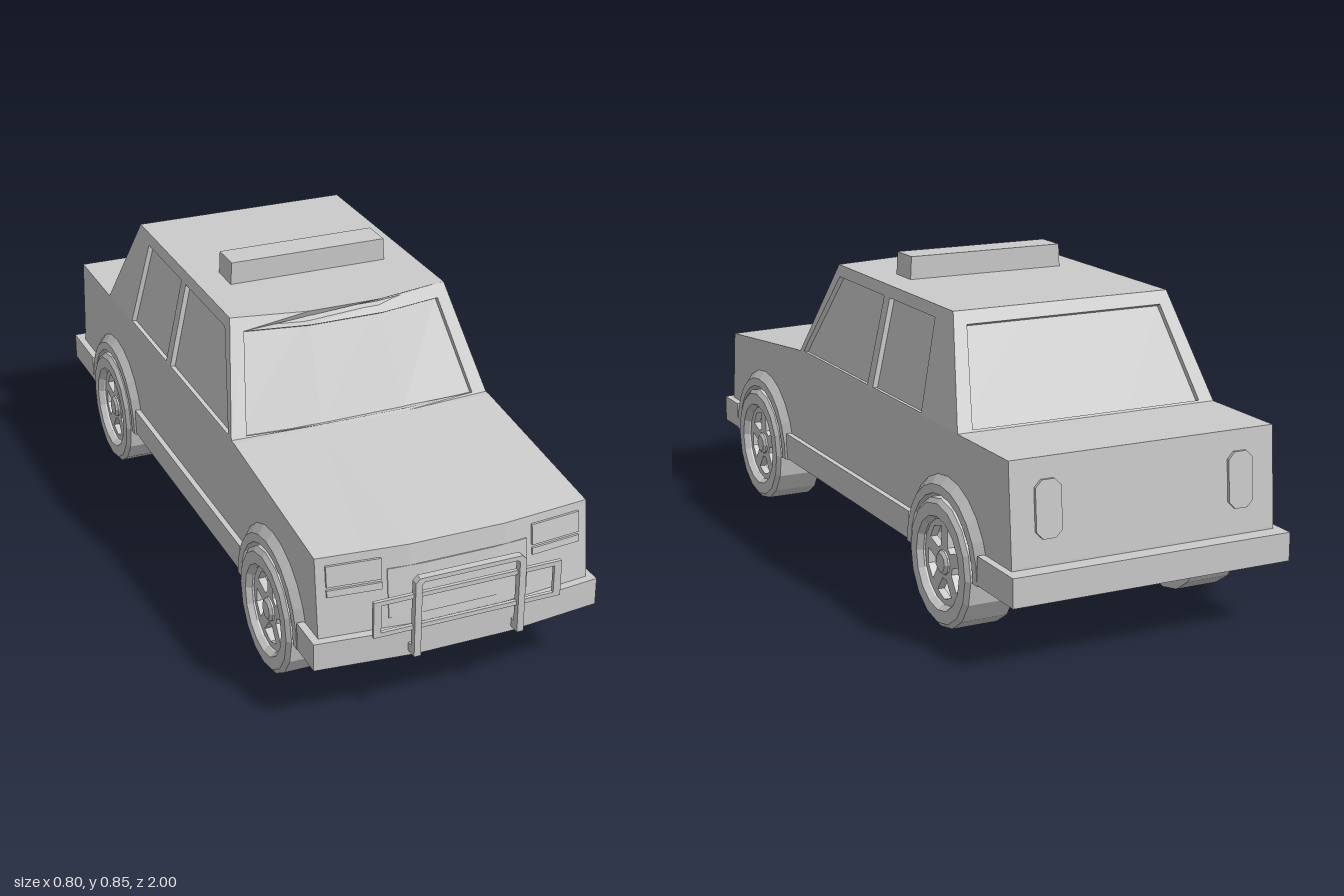
import * as THREE from 'three';

const grey = new THREE.MeshStandardMaterial({ color: 0xcccccc, flatShading: true, side: THREE.DoubleSide });
const V = (x, y, z) => new THREE.Vector3(x, y, z);
const lerp = THREE.MathUtils.lerp;
const poly = pts => new THREE.Shape(pts.map(p => new THREE.Vector2(p[0], p[1])));
const extrude = (shape, depth) => new THREE.ExtrudeGeometry(shape, { depth, bevelEnabled: false, curveSegments: 12 });

function add(parent, name, geometry) {
  const mesh = new THREE.Mesh(geometry, grey);
  mesh.name = name;
  parent.add(mesh);
  return mesh;
}

// Box given by its limits on each axis
function box(parent, name, x0, x1, y0, y1, z0, z1) {
  const g = new THREE.BoxGeometry(x1 - x0, y1 - y0, z1 - z0);
  return add(parent, name, g.translate((x0 + x1) / 2, (y0 + y1) / 2, (z0 + z1) / 2));
}

// Move every vertex by a rule
function warp(geometry, rule) {
  const p = geometry.attributes.position, v = V(0, 0, 0);
  for (let i = 0; i < p.count; i++) {
    rule(v.fromBufferAttribute(p, i));
    p.setXYZ(i, v.x, v.y, v.z);
  }
  geometry.computeVertexNormals();
  return geometry;
}

const WHEEL_Y = 0.167, AXLES = [0.635, -0.615], ARCH = 0.18, BASE = 0.17;

// The nose is flat in the middle and swept back to the sides
const sweep = x => 0.025 * Math.max(0, Math.abs(x) - 0.13) / 0.24;
const noseZ = (x, y) => lerp(0.945, 0.92, (y - 0.245) / 0.21) - sweep(x);

function lowerBody(car) {
  const cuts = [-0.37, -0.25, -0.13, 0.13, 0.25, 0.37];
  for (let i = 0; i < 5; i++) {
    const s = new THREE.Shape();
    s.moveTo(-0.955, BASE);
    // wheel wells only in the outer slabs
    if (i === 0 || i === 4) for (const z of [...AXLES].reverse()) {
      s.lineTo(z - ARCH, BASE);
      s.absarc(z, BASE, ARCH, Math.PI, 0, true);
    }
    for (const [z, y] of [[0.945, BASE], [0.945, 0.245], [0.92, 0.455], [0.37, 0.51], [-0.935, 0.51], [-0.955, 0.25]]) s.lineTo(z, y);
    const g = extrude(s, cuts[i + 1] - cuts[i]).rotateY(-Math.PI / 2).translate(cuts[i + 1], 0, 0);
    add(car, 'lowerBody', warp(g, v => { if (v.z > 0.85) v.z -= sweep(v.x); }));
  }
  // bumpers and sill
  const front = poly([[-0.39, -0.835], [0.39, -0.835], [0.39, -0.94], [0.13, -0.968], [-0.13, -0.968], [-0.39, -0.94]]);
  add(car, 'frontBumper', extrude(front, 0.075).rotateX(-Math.PI / 2).translate(0, BASE, 0));
  box(car, 'sill', -0.385, 0.385, BASE, 0.245, -0.415, 0.435);
  box(car, 'rearBumper', -0.39, 0.39, BASE, 0.245, -1, -0.815);
}

// Map a unit square (u, v, depth) onto a sloping quad, bulging in the middle
function onQuad(geometry, [bl, br, tr, tl], thickness, bulge) {
  const n = br.clone().sub(bl).cross(tl.clone().sub(bl)).normalize();
  return warp(geometry, p => {
    const { x: u, y: v, z: d } = p;
    p.copy(bl).lerp(br, u).lerp(tl.clone().lerp(tr, u), v).addScaledVector(n, (d - 1) * thickness);
    p.z += lerp(bulge[0], bulge[1], v) * Math.min(1, 3 * (0.5 - Math.abs(u - 0.5)));
  });
}

function windowPanel(cabin, name, quad, holes, bulge = [0, 0]) {
  const k = 1 / 3;
  const frame = poly([[0, 0], [k, 0], [1 - k, 0], [1, 0], [1, 1], [1 - k, 1], [k, 1], [0, 1]]);
  frame.holes = holes.map(poly);
  add(cabin, name + 'Frame', onQuad(extrude(frame, 1), quad, 0.016, bulge));
  const pane = new THREE.PlaneGeometry(0.96, 0.98, 3, 1).translate(0.5, 0.5, 0);
  add(cabin, name + 'Glass', onQuad(pane, quad, 0.014, bulge));
}

function buildCabin(car) {
  const cabin = new THREE.Group();
  cabin.name = 'cabin';
  car.add(cabin);
  const Y0 = 0.51, Y1 = 0.783, W0 = 0.37, W1 = 0.31;
  const low = (s, z) => V(s * W0, Y0, z), high = (s, z) => V(s * W1, Y1, z);
  const F0 = 0.35, F1 = 0.195, B0 = -0.67, B1 = -0.525;
  const screen = [[0.056, 0.02], [1 / 3, 0.02], [2 / 3, 0.02], [0.944, 0.02], [0.942, 0.88], [2 / 3, 0.88], [1 / 3, 0.88], [0.058, 0.88]];

  windowPanel(cabin, 'windshield', [low(-1, F0), low(1, F0), high(1, F1), high(-1, F1)], [screen], [0.02, 0.04]);
  windowPanel(cabin, 'rearWindow', [low(1, B0), low(-1, B0), high(-1, B1), high(1, B1)], [screen]);

  // front and rear door windows as (z, y) corners
  const doors = [
    [[0.325, 0.515], [-0.125, 0.515], [-0.125, 0.752], [0.175, 0.752]],
    [[-0.16, 0.515], [-0.46, 0.515], [-0.435, 0.752], [-0.16, 0.752]],
  ];
  for (const s of [1, -1]) {
    const holes = doors.map(d => d.map(([z, y]) => {
      const v = (y - Y0) / (Y1 - Y0), f = lerp(F0, F1, v), b = lerp(B0, B1, v);
      const u = (f - z) / (f - b);
      return [s > 0 ? u : 1 - u, v];
    }));
    const quad = s > 0
      ? [low(1, F0), low(1, B0), high(1, B1), high(1, F1)]
      : [low(-1, B0), low(-1, F0), high(-1, F1), high(-1, B1)];
    windowPanel(cabin, 'sideWindow', quad, holes);
  }
  const roof = new THREE.PlaneGeometry(1, 1, 3, 1).translate(0.5, 0.5, 1);
  add(cabin, 'roof', onQuad(roof, [high(1, B1), high(-1, B1), high(-1, F1), high(1, F1)], 0, [0, 0.04]));

  // light bar, slightly tapered
  const bar = new THREE.BoxGeometry(0.456, 0.064, 0.09).translate(0, 0.813, -0.055);
  add(car, 'lightBar', warp(bar, v => { if (v.y > 0.82) v.x *= 0.985; }));
}

function buildWheel(parent, z) {
  const wheel = new THREE.Group();
  wheel.name = 'wheel';
  wheel.position.set(0, WHEEL_Y, z);
  parent.add(wheel);
  const lathe = (pts, a = 0, len = Math.PI * 2, n = 16) => new THREE.LatheGeometry(
    pts.map(p => new THREE.Vector2(p[0], p[1])), n, a, len).rotateZ(-Math.PI / 2);

  add(wheel, 'tire', lathe([[0.12, 0.265], [0.167, 0.265], [0.167, 0.39], [0.155, 0.4], [0.122, 0.4], [0.112, 0.385], [0.112, 0.265], [0.12, 0.265]]));
  // five-spoke rim
  const rim = new THREE.Shape().absarc(0, 0, 0.115, 0, Math.PI * 2);
  for (let i = 0; i < 5; i++) {
    const a = Math.PI / 2 + (i + 0.5) * Math.PI * 2 / 5;
    rim.holes.push(poly([[0.045, -0.22], [0.092, -0.44], [0.098, 0], [0.092, 0.44], [0.045, 0.22]]
      .map(([r, t]) => [r * Math.cos(a + t), r * Math.sin(a + t)])));
  }
  add(wheel, 'spokes', extrude(rim, 0.02).rotateY(Math.PI / 2).translate(0.36, 0, 0));
  add(wheel, 'hub', lathe([[0.032, 0.35], [0.032, 0.385], [0.024, 0.392], [0, 0.392]], 0, Math.PI * 2, 10));

  // flared arch over the wheel
  add(wheel, 'wheelArch', lathe([[0.172, 0.3], [0.176, 0.39], [0.2, 0.39], [0.224, 0.368]], Math.PI, Math.PI, 12));
}

function noseDetails(car) {
  // thin plate following the swept nose
  const plate = (name, x0, x1, y0, y1, t = 0.006) => {
    const g = new THREE.BoxGeometry(x1 - x0, y1 - y0, t * 2, 4, 1, 1).translate((x0 + x1) / 2, (y0 + y1) / 2, 0);
    add(car, name, warp(g, v => { v.z += noseZ(v.x, v.y); }));
  };
  for (const s of [-1, 1]) {
    const mirrored = (name, a, b, y0, y1, t) => plate(name, Math.min(s * a, s * b), Math.max(s * a, s * b), y0, y1, t);
    mirrored('headlight', 0.205, 0.345, 0.378, 0.433);
    mirrored('turnSignal', 0.205, 0.345, 0.352, 0.37);
  }
  plate('grille', -0.19, 0.19, 0.27, 0.4, 0.003);

  // push bar: bent hoop, feet and a wide frame
  const hoop = poly([[-0.15, 0.2], [-0.15, 0.392], [-0.138, 0.404], [0.138, 0.404], [0.15, 0.392], [0.15, 0.2],
    [0.132, 0.2], [0.132, 0.386], [0.126, 0.392], [-0.126, 0.392], [-0.132, 0.386], [-0.132, 0.2]]);
  add(car, 'pushBar', extrude(hoop, 0.02).translate(0, 0, 0.98));
  for (const x of [-0.141, 0.141]) box(car, 'pushBarFoot', x - 0.009, x + 0.009, 0.185, 0.208, 0.95, 1);
  const rect = (w, a, b) => poly([[-w, a], [w, a], [w, b], [-w, b]]);
  const frame = rect(0.255, 0.258, 0.358);
  frame.holes = [rect(0.235, 0.27, 0.346)];
  add(car, 'pushBarFrame', extrude(frame, 0.01).translate(0, 0, 0.98));
}

function tailLights(car) {
  const w = 0.035, h = 0.072, c = 0.018;
  const lamp = poly([[-w, c - h], [c - w, -h], [w - c, -h], [w, c - h], [w, h - c], [w - c, h], [c - w, h], [-w, h - c]]);
  for (const x of [-0.27, 0.27]) {
    const m = add(car, 'tailLight', extrude(lamp, 0.02));
    m.position.set(x, 0.385, -0.953);
    m.rotation.x = 0.077;
  }
}

export function createModel() {
  const car = new THREE.Group();
  car.name = 'patrolCar';
  lowerBody(car);
  buildCabin(car);
  for (const s of [1, -1]) {
    const side = new THREE.Group();
    side.name = s > 0 ? 'leftWheels' : 'rightWheels';
    side.scale.x = s;
    AXLES.forEach(z => buildWheel(side, z));
    car.add(side);
  }
  noseDetails(car);
  tailLights(car);
  return car;
}
